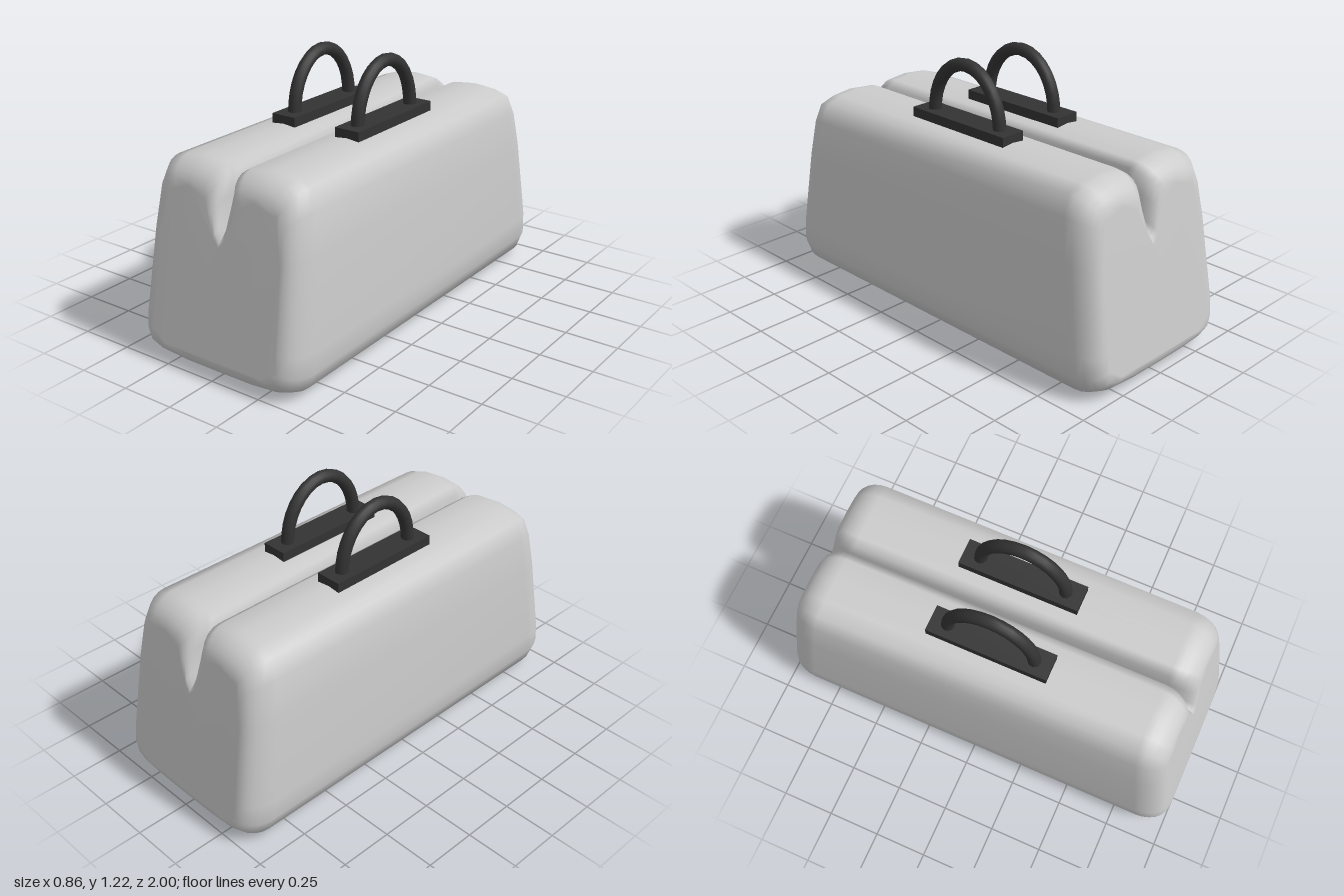
import * as THREE from 'three';

// Half profile from bottom centre, up the side, over the lobe and down into the groove.
// Each row: x, y of the long body, then x, y of the inset end face.
const PROFILE = [
  [0, 0.003, 0, 0.09], [0.19, 0.004, 0.15, 0.092], [0.33, 0.015, 0.26, 0.10], [0.40, 0.042, 0.31, 0.12],
  [0.425, 0.11, 0.335, 0.15], [0.43, 0.21, 0.34, 0.22], [0.405, 0.60, 0.32, 0.58], [0.385, 0.78, 0.30, 0.72],
  [0.35, 0.87, 0.285, 0.77], [0.28, 0.895, 0.25, 0.79], [0.175, 0.907, 0.18, 0.80], [0.06, 0.895, 0.11, 0.79],
  [0.02, 0.87, 0.085, 0.76], [0.018, 0.78, 0.06, 0.70], [0.01, 0.68, 0.03, 0.62], [0, 0.64, 0, 0.58],
];

// Grooved bag body: profile rings lofted along z with rounded, tapering ends
function bodyGeometry() {
  const mirrored = PROFILE.slice(1, -1).reverse().map(([a, b, c, d]) => [-a, b, -c, d]);
  const outline = [...PROFILE, ...mirrored];
  const n = outline.length, steps = 6, depth = 0.14;
  const rings = [];
  for (let i = 0; i <= steps; i++) {
    const t = (i / steps) * Math.PI / 2;
    rings.push([1 - depth * (1 - Math.sin(t)), 1 - Math.cos(t)]);
  }
  const all = [...rings.map(([z, k]) => [-z, k]).reverse(), ...rings];

  const positions = [], index = [];
  for (const [z, k] of all) {
    for (const [ox, oy, ex, ey] of outline) {
      const y = oy + (ey - oy) * k;
      positions.push(ox + (ex - ox) * k, y, z * (1 - 0.15 * Math.max(0, y - 0.1)));
    }
  }
  for (let i = 0; i < all.length - 1; i++) {
    for (let j = 0; j < n; j++) {
      const a = i * n + j, b = i * n + (j + 1) % n;
      index.push(a, b, a + n, b, b + n, a + n);
    }
  }
  // End faces
  const face = outline.map(p => new THREE.Vector2(p[2], p[3]));
  const last = (all.length - 1) * n;
  for (const [a, b, c] of THREE.ShapeUtils.triangulateShape(face, [])) {
    index.push(last + a, last + b, last + c, c, b, a);
  }
  const geometry = new THREE.BufferGeometry();
  geometry.setAttribute('position', new THREE.Float32BufferAttribute(positions, 3));
  geometry.setIndex(index);
  geometry.computeVertexNormals();
  return geometry;
}

// Handle: flat mounting plate with an arched grip
function createHandle(name, x, material) {
  const handle = new THREE.Group();
  handle.name = name;
  handle.position.x = x;

  const plate = new THREE.Mesh(new THREE.BoxGeometry(0.125, 0.06, 0.57), material);
  plate.name = 'handlePlate';
  plate.position.y = 0.915;

  const points = [];
  for (let i = 0; i <= 12; i++) {
    const a = (i / 12) * Math.PI;
    points.push(new THREE.Vector3(0, 0.935 + 0.255 * Math.sin(a), 0.205 * Math.cos(a)));
  }
  const path = new THREE.CatmullRomCurve3(points);
  const grip = new THREE.Mesh(new THREE.TubeGeometry(path, 16, 0.03, 12), material);
  grip.name = 'handleGrip';

  handle.add(plate, grip);
  return handle;
}

export function createModel() {
  const model = new THREE.Group();
  model.name = 'bag';
  const grey = new THREE.MeshStandardMaterial({ color: 0xcccccc });
  const dark = new THREE.MeshStandardMaterial({ color: 0x333333 });

  const body = new THREE.Mesh(bodyGeometry(), grey);
  body.name = 'body';
  model.add(body, createHandle('leftHandle', 0.173, dark), createHandle('rightHandle', -0.173, dark));
  return model;
}
